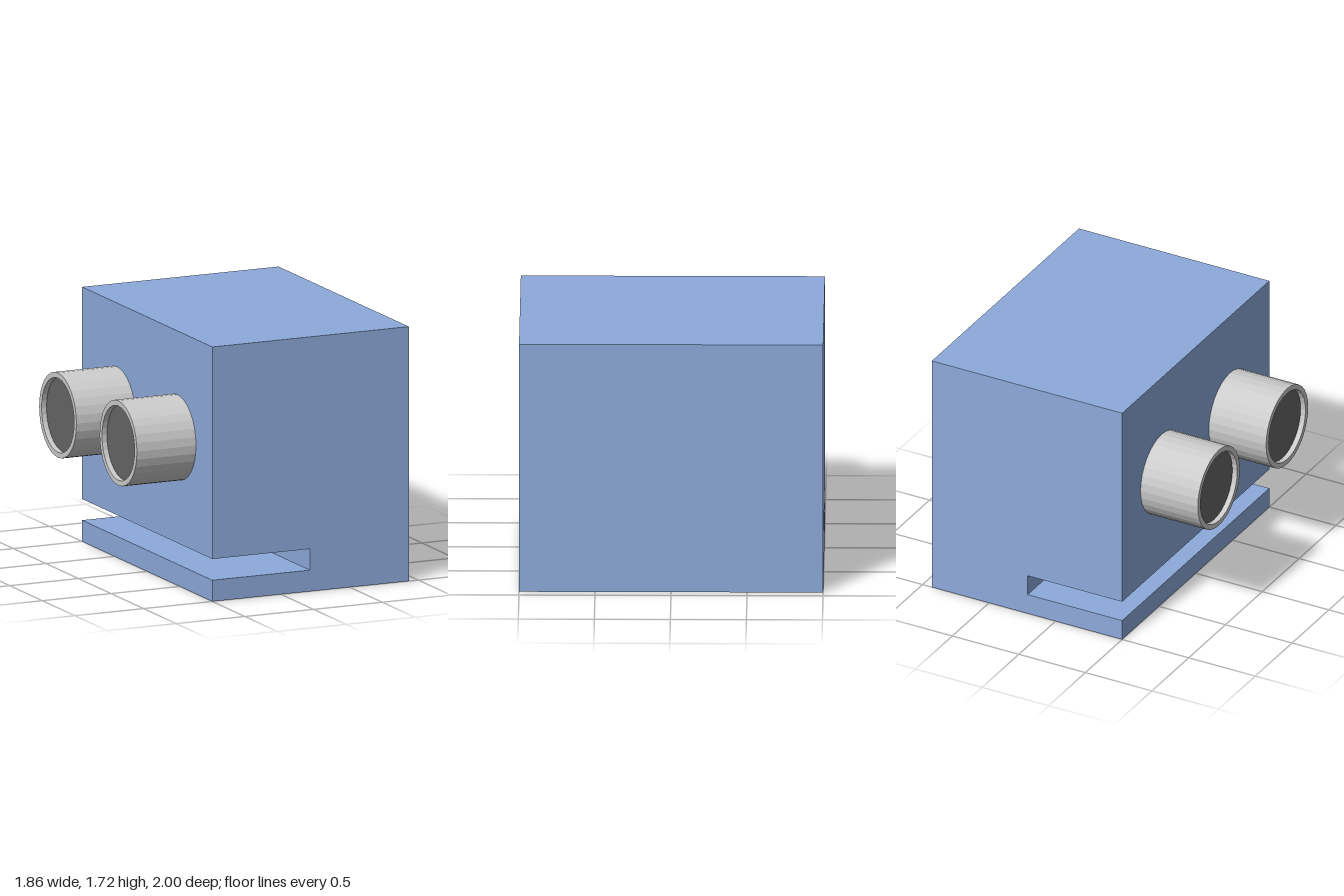
import * as THREE from 'three';

export function createModel() {
  const group = new THREE.Group();
  const blue = new THREE.MeshStandardMaterial({ color: 0x8daadb, flatShading: true });
  const grey = new THREE.MeshStandardMaterial({ color: 0xcccccc, flatShading: true });
  const dark = new THREE.MeshStandardMaterial({ color: 0x666666, flatShading: true });

  // Housing: slotted side profile extruded along z
  const left = -0.5, right = 0.93, top = 1.715, slotEnd = 0.21;
  const profile = new THREE.Shape([
    [left, 0], [right, 0], [right, top], [left, top],
    [left, 0.286], [slotEnd, 0.286], [slotEnd, 0.143], [left, 0.143],
  ].map(([x, y]) => new THREE.Vector2(x, y)));
  const housing = new THREE.Mesh(
    new THREE.ExtrudeGeometry(profile, { depth: 2, bevelEnabled: false }).translate(0, 0, -1), blue);
  housing.name = 'housing';
  group.add(housing);

  // Two eyepieces: a tube with a raised rim and a recessed dark lens
  const sides = 32, outer = 0.286, inner = 0.25, length = 0.43, recess = 0.036;
  const tubeProfile = [
    [outer, 0], [outer, length], [inner, length], [inner, length - recess],
  ].map(([r, y]) => new THREE.Vector2(r, y));

  for (const side of [-1, 1]) {
    const eyepiece = new THREE.Group();
    eyepiece.name = side > 0 ? 'frontEyepiece' : 'backEyepiece';

    const tube = new THREE.Mesh(new THREE.LatheGeometry(tubeProfile, sides), grey);
    tube.name = 'tube';

    const lens = new THREE.Mesh(new THREE.CircleGeometry(inner, sides).rotateX(-Math.PI / 2), dark);
    lens.name = 'lens';
    lens.position.y = length - recess;

    eyepiece.add(tube, lens);
    eyepiece.rotation.z = Math.PI / 2; // point the tube towards -x
    eyepiece.position.set(left, 1, side * 0.464);
    group.add(eyepiece);
  }

  return group;
}
